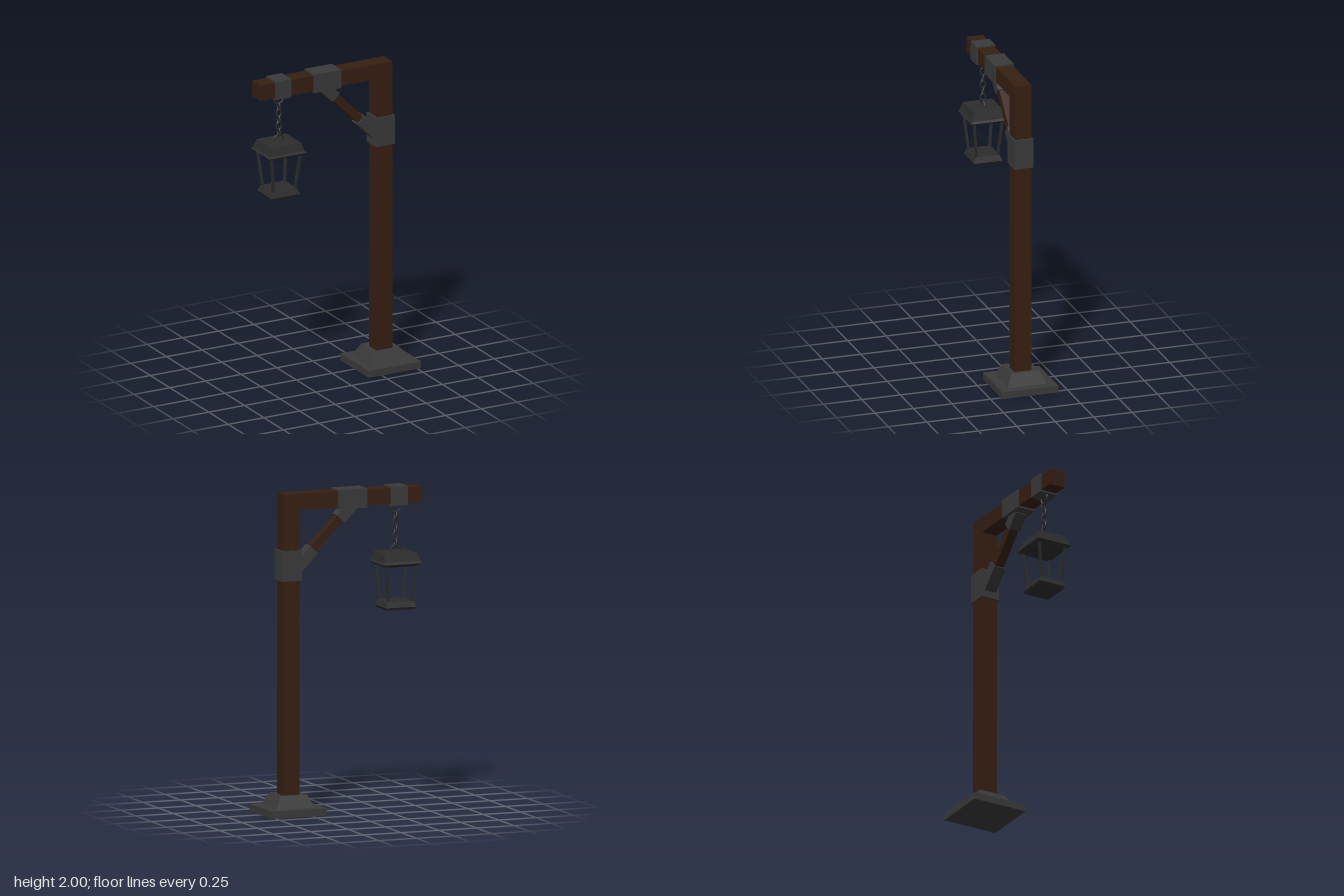
import * as THREE from 'three';

const mat = (color) => new THREE.MeshStandardMaterial({ color, flatShading: true });

export function createModel() {
  const model = new THREE.Group();
  const wood = mat(0x361f12), iron = mat(0x3a3a3a), darkIron = mat(0x2c2c2c);

  const add = (parent, name, geometry, material, x = 0, y = 0, z = 0) => {
    const mesh = new THREE.Mesh(geometry, material);
    mesh.name = name;
    mesh.position.set(x, y, z);
    parent.add(mesh);
    return mesh;
  };

  // box given by its x and y extents, centred on z
  const block = (name, x0, x1, y0, y1, depth, material) =>
    add(model, name, new THREE.BoxGeometry(x1 - x0, y1 - y0, depth), material, (x0 + x1) / 2, (y0 + y1) / 2);

  // four-sided solid from a profile of [half width, height], bottom to top
  const stepped = (profile, zScale = 1) => {
    const points = profile.map(([r, y]) => new THREE.Vector2(r * Math.SQRT2, y));
    return new THREE.LatheGeometry(points, 4).rotateY(Math.PI / 4).scale(1, 1, zScale);
  };

  // straight bar between two points
  const bar = (parent, name, a, b, width, depth, material) => {
    const dir = b.clone().sub(a);
    const mesh = add(parent, name, new THREE.BoxGeometry(width, dir.length(), depth), material);
    mesh.position.copy(a).add(b).multiplyScalar(0.5);
    mesh.quaternion.setFromUnitVectors(new THREE.Vector3(0, 1, 0), dir.normalize());
    return mesh;
  };
  const v = (x, y, z = 0) => new THREE.Vector3(x, y, z);

  // foot: plate and tapered socket
  const postX = 0.341;
  block('basePlate', postX - 0.184, postX + 0.184, 0, 0.045, 0.364, iron);
  add(model, 'baseSocket', stepped([
    [0.127, 0.045], [0.09, 0.122], [0.066, 0.122], [0.053, 0.112],
  ]), iron, postX);

  // timber frame
  block('post', postX - 0.053, postX + 0.053, 0.04, 1.99, 0.106, wood);
  block('beam', -0.531, postX - 0.053, 1.89, 1.99, 0.106, wood);
  bar(model, 'brace', v(-0.06, 1.883), v(0.3, 1.52), 0.052, 0.06, wood);

  // iron bands and the sleeves that hold the brace
  block('lanternBand', -0.428, -0.317, 1.88, 2, 0.124, iron);
  block('beamBand', -0.16, 0.032, 1.88, 2, 0.124, iron);
  block('postBand', 0.275, 0.407, 1.45, 1.64, 0.124, iron);
  bar(model, 'upperSleeve', v(-0.075, 1.898), v(0.008, 1.815), 0.07, 0.08, iron);
  bar(model, 'lowerSleeve', v(0.183, 1.636), v(0.3, 1.519), 0.07, 0.08, iron);

  // hanging lantern
  const lantern = new THREE.Group();
  lantern.name = 'lantern';
  lantern.position.x = -0.373;
  model.add(lantern);

  // large rings under the beam and on the roof
  const ring = new THREE.TorusGeometry(0.034, 0.006, 6, 20);
  add(lantern, 'beamRing', ring, darkIron, 0, 1.865);
  add(lantern, 'roofRing', ring, darkIron, 0, 1.593);

  // chain of alternating links
  const link = new THREE.TorusGeometry(0.017, 0.005, 6, 14).scale(1, 1.4, 1);
  for (let i = 0; i < 5; i++) {
    const mesh = add(lantern, 'chainLink', link, darkIron, 0, 1.81 - i * 0.042);
    mesh.rotation.y = i % 2 ? 0 : Math.PI / 2;
  }

  // flared roof and dished floor
  add(lantern, 'lanternRoof', stepped([
    [0, 1.515], [0.104, 1.503], [0.131, 1.522], [0.12, 1.535], [0.104, 1.586], [0.066, 1.589], [0, 1.589],
  ], 0.91), darkIron);
  add(lantern, 'lanternFloor', stepped([
    [0, 1.235], [0.092, 1.235], [0.101, 1.25], [0.086, 1.286], [0, 1.286],
  ], 0.91), darkIron);

  // four slanted corner rods
  for (const sx of [-1, 1]) {
    for (const sz of [-1, 1]) {
      bar(lantern, 'cornerRod', v(sx * 0.076, 1.28, sz * 0.069), v(sx * 0.101, 1.515, sz * 0.092), 0.015, 0.015, darkIron);
    }
  }

  return model;
}
